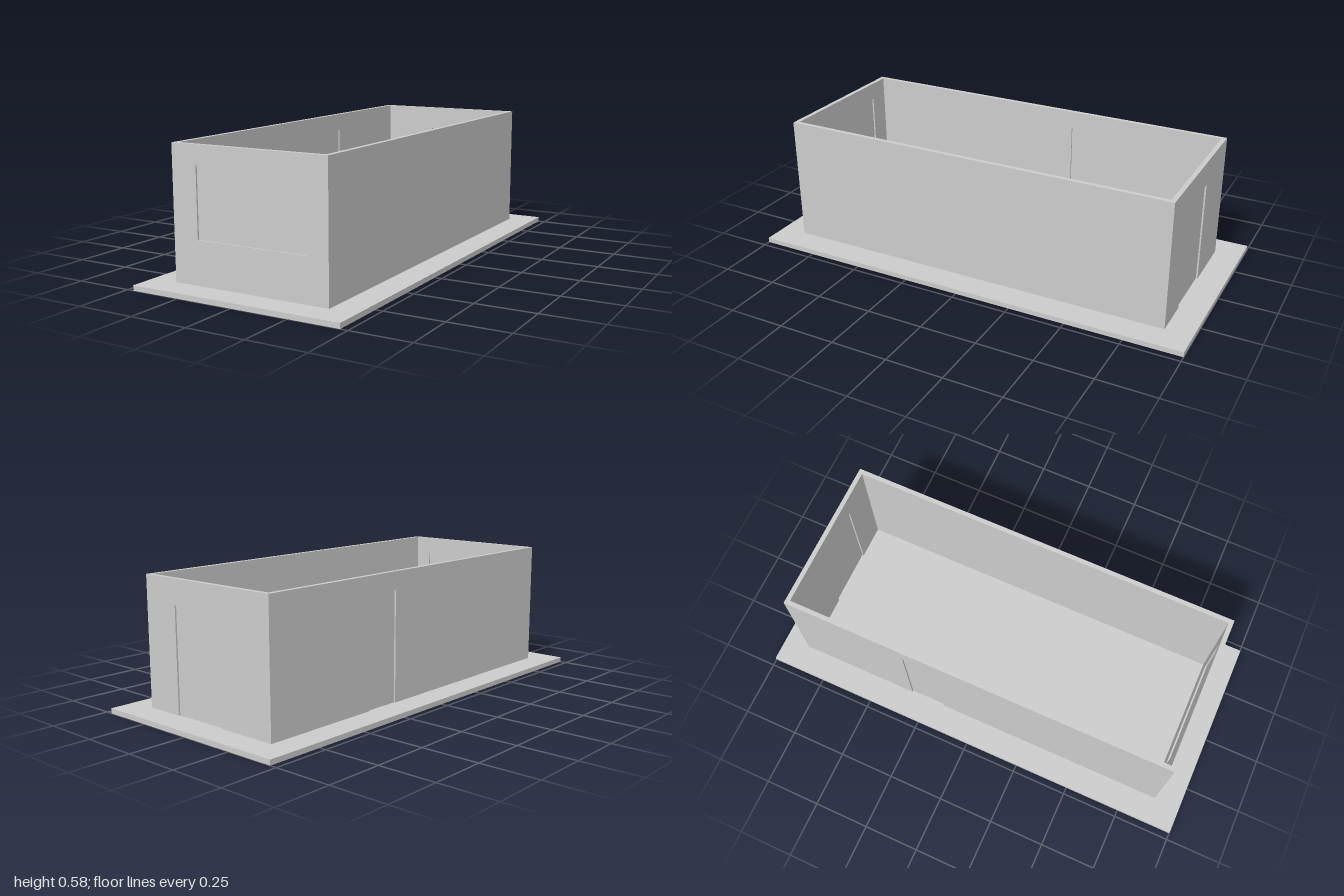
import * as THREE from 'three';

const material = new THREE.MeshStandardMaterial({ color: 0xcccccc });

const SLAB = { width: 0.94, height: 0.022, depth: 2 };
const WIDTH = 0.706, DEPTH = 1.766, TOP = 0.577; // outer size of the walls
const THICK = 0.02, PANEL = 0.006;               // wall and panel thickness

function box(name, w, h, d, x, y, z) {
  const mesh = new THREE.Mesh(new THREE.BoxGeometry(w, h, d), material);
  mesh.name = name;
  mesh.position.set(x, y, z);
  return mesh;
}

// Wall in its own x-y plane; an opening that starts at the slab is a doorway, else a window
function wall(name, length, opening) {
  const group = new THREE.Group();
  group.name = name;
  const half = length / 2, base = SLAB.height;
  const outline = [[-half, base]];
  let hole = null;
  if (opening) {
    const { x0, x1, y0, y1 } = opening;
    if (y0 <= base) outline.push([x0, base], [x0, y1], [x1, y1], [x1, base]);
    else hole = [[x0, y0], [x0, y1], [x1, y1], [x1, y0]];
  }
  outline.push([half, base], [half, TOP], [-half, TOP]);

  const points = list => list.map(([x, y]) => new THREE.Vector2(x, y));
  const shape = new THREE.Shape(points(outline));
  if (hole) shape.holes.push(new THREE.Path(points(hole)));
  const geometry = new THREE.ExtrudeGeometry(shape, { depth: THICK, bevelEnabled: false });
  geometry.translate(0, 0, -THICK / 2);
  const mesh = new THREE.Mesh(geometry, material);
  mesh.name = name + 'Surface';
  group.add(mesh);

  // Thin panel set in the middle of the wall thickness
  if (opening) {
    const { x0, x1, y0, y1 } = opening;
    group.add(box(opening.name, x1 - x0, y1 - y0, PANEL, (x0 + x1) / 2, (y0 + y1) / 2, 0));
  }
  return group;
}

export function createModel() {
  const model = new THREE.Group();
  model.name = 'rooflessBuilding';

  // Ground slab
  model.add(box('baseSlab', SLAB.width, SLAB.height, SLAB.depth, 0, SLAB.height / 2, 0));

  // Front wall with wide window
  const front = wall('frontWall', WIDTH, { name: 'windowPane', x0: -0.238, x1: 0.257, y0: 0.205, y1: 0.5 });
  front.position.z = (DEPTH - THICK) / 2;

  // Back wall with door
  const back = wall('backWall', WIDTH, { name: 'backDoor', x0: -0.083, x1: 0.178, y0: SLAB.height, y1: 0.47 });
  back.position.z = -(DEPTH - THICK) / 2;

  // Long walls between them; the one on -x has a narrow door
  const sideLength = DEPTH - 2 * THICK;
  const left = wall('leftWall', sideLength);
  left.position.x = (WIDTH - THICK) / 2;
  const right = wall('rightWall', sideLength, { name: 'sideDoor', x0: -0.333, x1: -0.169, y0: SLAB.height, y1: 0.5 });
  right.position.x = -(WIDTH - THICK) / 2;
  for (const side of [left, right]) side.rotation.y = -Math.PI / 2;

  model.add(front, back, left, right);
  return model;
}
